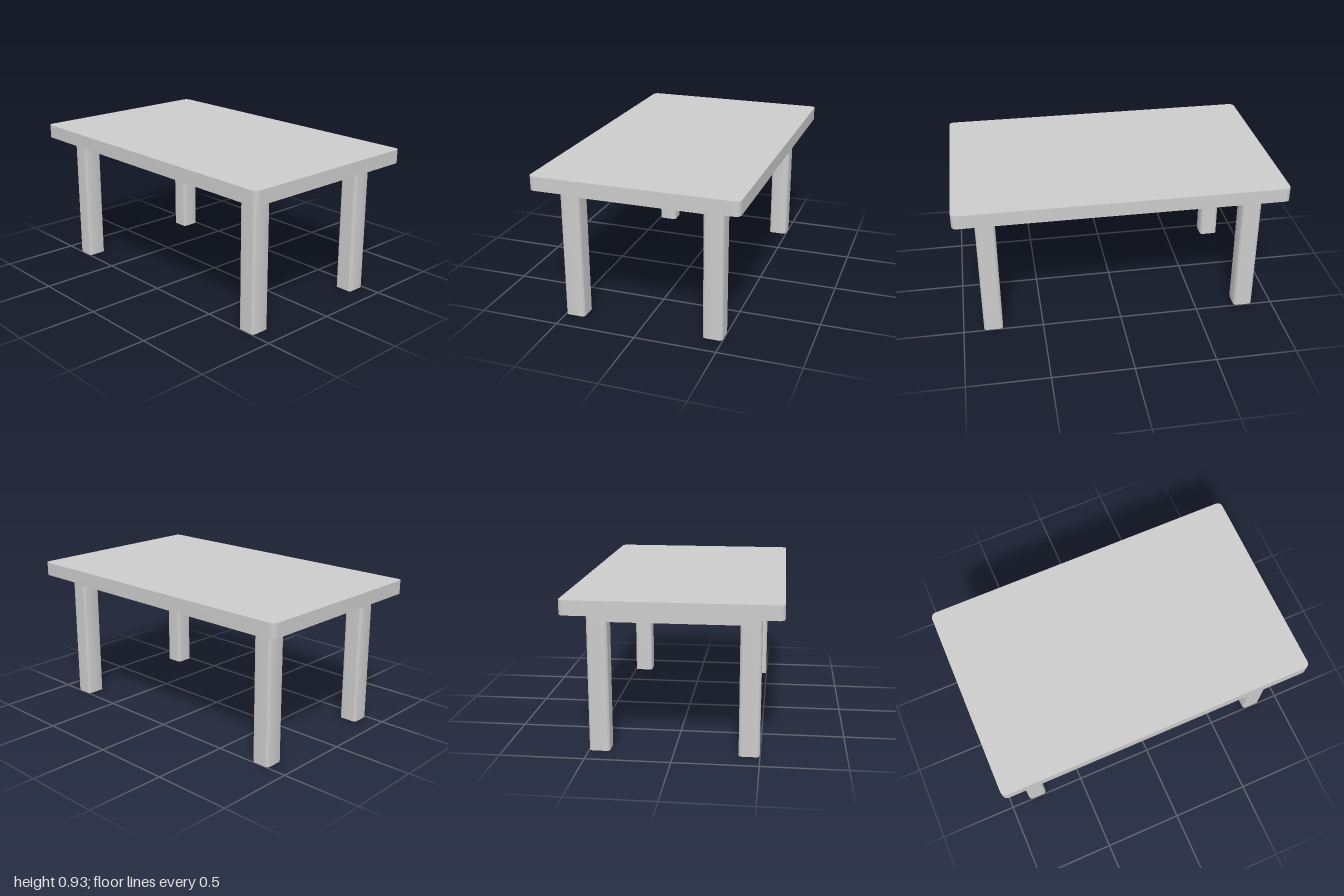
import * as THREE from 'three';
import { toCreasedNormals } from 'three/addons/utils/BufferGeometryUtils.js';

const material = new THREE.MeshStandardMaterial({ color: 0xcccccc });

// Upright block with rounded vertical edges, spanning y0 to y1
function roundedBlock(name, width, depth, y0, y1, r) {
  const w = width / 2, d = depth / 2;
  const shape = new THREE.Shape();
  shape.absarc(w - r, d - r, r, 0, Math.PI / 2);
  shape.absarc(-w + r, d - r, r, Math.PI / 2, Math.PI);
  shape.absarc(-w + r, -d + r, r, Math.PI, Math.PI * 1.5);
  shape.absarc(w - r, -d + r, r, Math.PI * 1.5, Math.PI * 2);
  shape.closePath();
  let geometry = new THREE.ExtrudeGeometry(shape, { depth: y1 - y0, bevelEnabled: false, curveSegments: 6 });
  geometry.rotateX(-Math.PI / 2);
  geometry = toCreasedNormals(geometry, Math.PI / 6);
  const mesh = new THREE.Mesh(geometry, material);
  mesh.name = name;
  mesh.position.y = y0;
  return mesh;
}

export function createModel() {
  const table = new THREE.Group();
  table.name = 'table';

  // Top and the solid apron beneath it
  table.add(roundedBlock('tableTop', 1.246, 2, 0.84, 0.926, 0.033));
  table.add(roundedBlock('apron', 0.996, 1.746, 0.778, 0.84, 0.02));

  // Four legs, flush with the apron corners
  for (const [end, sz] of [['front', 1], ['back', -1]]) {
    for (const [side, sx] of [['Left', 1], ['Right', -1]]) {
      const leg = roundedBlock(`${end}${side}Leg`, 0.122, 0.12, 0, 0.778, 0.02);
      leg.position.x = sx * 0.437;
      leg.position.z = sz * 0.813;
      table.add(leg);
    }
  }
  return table;
}
